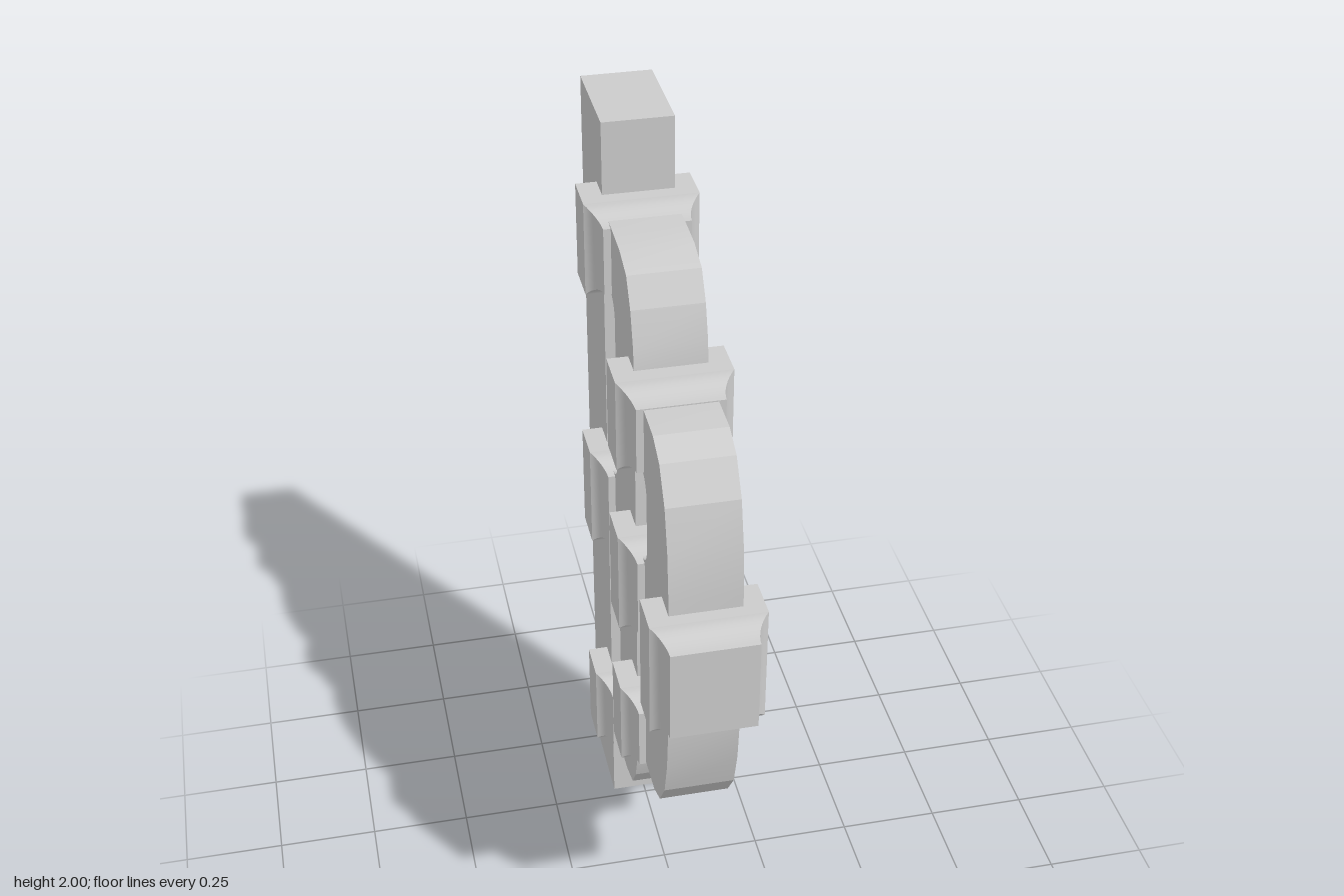
import * as THREE from 'three';
import { mergeVertices, toCreasedNormals } from 'three/addons/utils/BufferGeometryUtils.js';

const material = new THREE.MeshStandardMaterial({ color: 0xcccccc });
const HALF = 0.083;   // half thickness of post and arches
const MID = 1.029;    // height of the symmetry line

function add(group, name, geometry) {
  const mesh = new THREE.Mesh(geometry, material);
  mesh.name = name;
  group.add(mesh);
}

// Square collar: a straight block that narrows forward through a concave cove
function collar(back, bottom, top) {
  const rings = [[back, 0]];
  const steps = 8;
  for (let i = 0; i <= steps; i++) {
    const t = 0.25 + (Math.PI / 2 - 0.25) * i / steps;
    const s0 = Math.sin(0.25), c0 = Math.cos(0.25);
    rings.push([back + 0.1 + 0.066 * (1 - Math.cos(t) / c0), 0.032 * (Math.sin(t) - s0) / (1 - s0)]);
  }
  const positions = [], index = [];
  for (const [z, inset] of rings) {
    const x = 0.132 - inset, hi = top - inset, lo = bottom + inset;
    positions.push(x, hi, z, -x, hi, z, -x, lo, z, x, lo, z);
  }
  for (let i = 0; i < rings.length - 1; i++) {
    for (let k = 0; k < 4; k++) {
      const a = i * 4 + k, b = i * 4 + (k + 1) % 4;
      index.push(a, b, b + 4, a, b + 4, a + 4);
    }
  }
  const e = (rings.length - 1) * 4;
  index.push(0, 2, 1, 0, 3, 2, e, e + 1, e + 2, e, e + 2, e + 3);
  const geometry = new THREE.BufferGeometry();
  geometry.setAttribute('position', new THREE.Float32BufferAttribute(positions, 3));
  geometry.setIndex(index);
  return toCreasedNormals(geometry, 0.4);
}

// Three-legged arch: curve = upper outer edge [z, y], mirrored about MID.
// The two slots open to the back, with rounded front corners and a skewed wall.
function arch(curve, back, slotFront, slotLow, slotHigh) {
  const shape = new THREE.Shape();
  const mirror = y => 2 * MID - y;
  const r = 0.055;
  shape.moveTo(back, mirror(curve[0][1]));
  for (const [z, y] of curve) shape.lineTo(z, mirror(y));
  for (const [z, y] of [...curve].reverse()) shape.lineTo(z, y);
  shape.lineTo(back, curve[0][1]);
  for (const [lo, hi] of [[slotLow, slotHigh], [mirror(slotHigh), mirror(slotLow)]]) {
    shape.lineTo(back, hi);
    shape.lineTo(slotFront - r, hi);
    shape.absarc(slotFront - r, hi - r, r, Math.PI / 2, 0, true);
    shape.absarc(slotFront - r, lo + r, r, 0, -Math.PI / 2, true);
    shape.lineTo(back, lo);
  }
  let geometry = new THREE.ExtrudeGeometry(shape, { depth: 2 * HALF, bevelEnabled: false, curveSegments: 8 });
  geometry.translate(0, 0, -HALF);
  geometry.rotateY(-Math.PI / 2);
  const p = geometry.attributes.position;
  for (let i = 0; i < p.count; i++) {
    const inSlot = p.getZ(i) < slotFront + 0.001 && Math.abs(p.getY(i) - MID) < slotHigh - MID + 0.001;
    if (inSlot && p.getX(i) < 0) p.setZ(i, p.getZ(i) - 0.025);
  }
  geometry.deleteAttribute('uv');
  geometry.deleteAttribute('normal');
  geometry = mergeVertices(geometry);
  return toCreasedNormals(geometry, 0.25);
}

export function createModel() {
  const group = new THREE.Group();

  // Upright post at the back
  const post = new THREE.BoxGeometry(2 * HALF, 2, 0.248);
  post.translate(0, 1, -0.4);
  add(group, 'post', post);

  // Large arch against the post, small arch against the large one
  add(group, 'largeArch', arch(
    [[-0.17, 1.798], [-0.077, 1.794], [-0.004, 1.772], [0.038, 1.71], [0.064, 1.63], [0.073, 1.55]],
    -0.3, -0.12, 1.132, 1.63));
  add(group, 'smallArch', arch(
    [[0.18, 1.543], [0.27, 1.541], [0.335, 1.512], [0.388, 1.435], [0.415, 1.335], [0.428, 1.21]],
    0.03, 0.225, 1.132, 1.377));

  // Collars around the legs
  const legs = { large: [-0.342, 1.598, 1.826], small: [0.008, 1.35, 1.578] };
  for (const [size, [back, lo, hi]] of Object.entries(legs)) {
    add(group, size + 'ArchUpperCollar', collar(back, lo, hi));
    add(group, size + 'ArchMiddleCollar', collar(back, 0.896, 1.162));
    add(group, size + 'ArchLowerCollar', collar(back, 2 * MID - hi, 2 * MID - lo));
  }

  // Cap on the front of the small arch
  add(group, 'frontCap', collar(0.358, 0.88, 1.178));
  return group;
}
